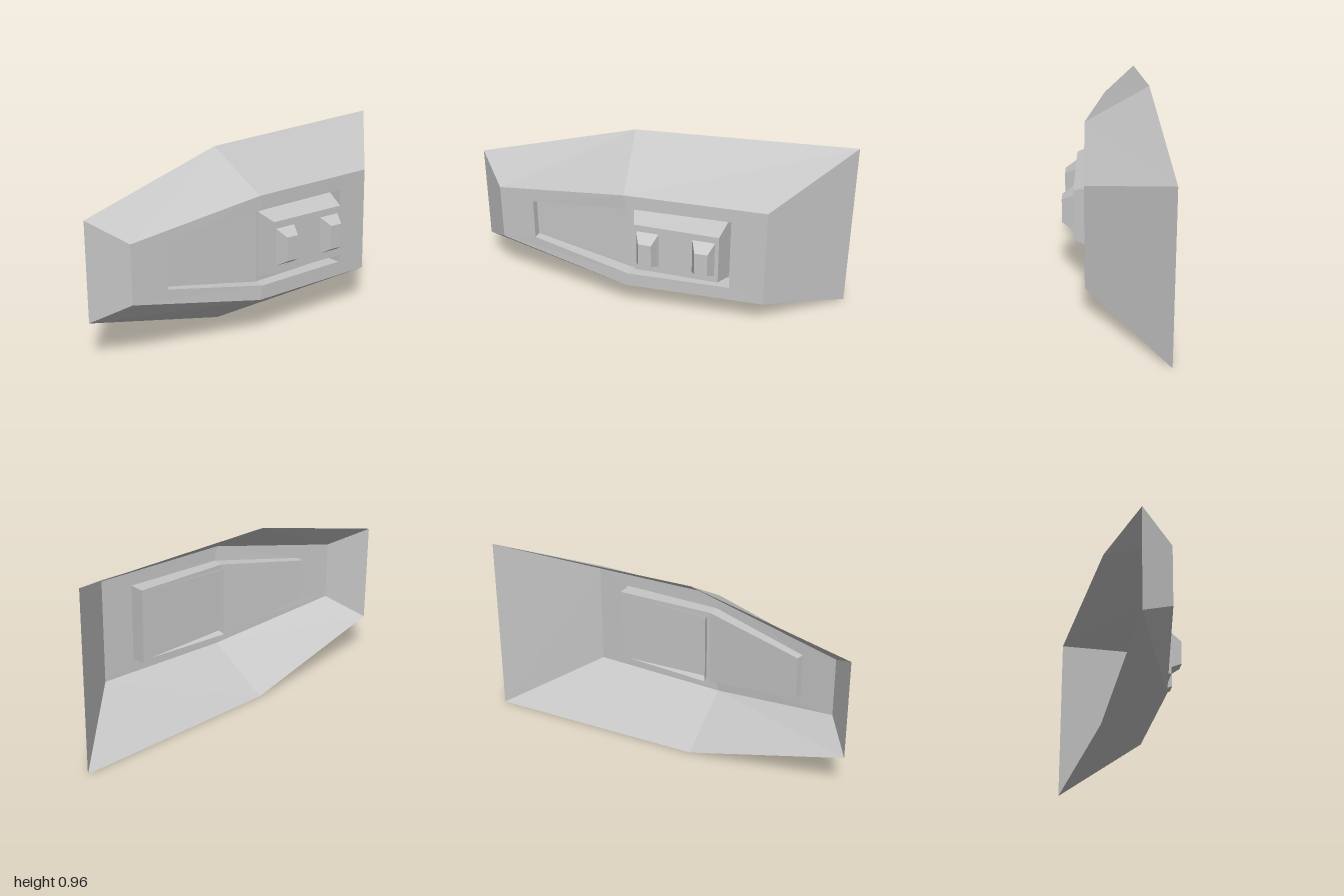
import * as THREE from 'three';

// Six-sided outline, counter-clockwise from the front: tip, kink and broad end.
// Each station is [x, yLow, yHigh, z].
const outline = (tip, kink, end) => [
  ...[tip, kink, end].map(([x, lo, , z]) => [x, lo, z]),
  ...[end, kink, tip].map(([x, , hi, z]) => [x, hi, z]),
];

// Four-sided outline whose depth slopes from zl to zr.
const rect = (x0, x1, y0, y1, zl, zr) => [[x0, y0, zl], [x1, y0, zr], [x1, y1, zr], [x0, y1, zl]];

// Band of quads joining two loops of equal length.
const band = (a, b) => a.map((p, i) => {
  const j = (i + 1) % a.length;
  return [p, a[j], b[j], b[i]];
});

// Flat faces filling a four- or six-sided loop.
const cap = (l) => l.length === 4 ? [l] : [[l[0], l[1], l[4], l[5]], [l[1], l[2], l[3], l[4]]];

function quadMesh(name, quads, material) {
  const pos = quads.flatMap(([a, b, c, d]) => [a, b, c, a, c, d].flat());
  const g = new THREE.BufferGeometry();
  g.setAttribute('position', new THREE.Float32BufferAttribute(pos, 3));
  g.computeVertexNormals();
  const mesh = new THREE.Mesh(g, material);
  mesh.name = name;
  return mesh;
}

export function createModel() {
  const group = new THREE.Group();
  group.name = 'hullPod';
  const grey = new THREE.MeshStandardMaterial({ color: 0xc4c4c4, side: THREE.DoubleSide });
  grey.name = 'plain grey';
  const add = (name, quads) => group.add(quadMesh(name, quads, grey));

  const rear = outline([-1, 0.215, 0.748, -0.245], [-0.16, 0, 0.96, -0.245], [1, 0, 0.96, -0.245]);
  const face = outline([-0.865, 0.325, 0.64, -0.065], [-0.16, 0.2, 0.766, 0.095], [0.58, 0.2, 0.766, 0.142]);
  const rim = outline([-0.675, 0.368, 0.597, -0.022], [-0.145, 0.277, 0.688, 0.096], [0.4, 0.277, 0.688, 0.13]);
  const floor = outline([-0.665, 0.37, 0.595, -0.06], [-0.135, 0.279, 0.686, 0.035], [0.4, 0.279, 0.686, 0.048]);

  // Open-backed sloping shell, front frame and sunken panel
  add('outerShell', band(rear, face));
  add('frontFrame', band(face, rim));
  add('recessWalls', band(rim, floor));
  add('recessFloor', cap(floor));

  // Hollow raised block standing in the recess
  const blockBase = rect(-0.125, 0.39, 0.295, 0.672, 0, 0.05);
  const blockTop = rect(-0.1, 0.345, 0.343, 0.622, 0.137, 0.182);
  add('raisedBlock', [...band(blockBase, blockTop), ...cap(blockTop)]);

  // Two tapered knobs on the block
  for (const [x, z, name] of [[-0.088, 0.138, 'rightKnob'], [0.207, 0.168, 'leftKnob']]) {
    const base = rect(x, x + 0.118, 0.383, 0.584, z, z + 0.012);
    const top = rect(x + 0.02, x + 0.088, 0.418, 0.547, z + 0.063, z + 0.07);
    add(name, [...band(base, top), ...cap(top)]);
  }
  return group;
}
